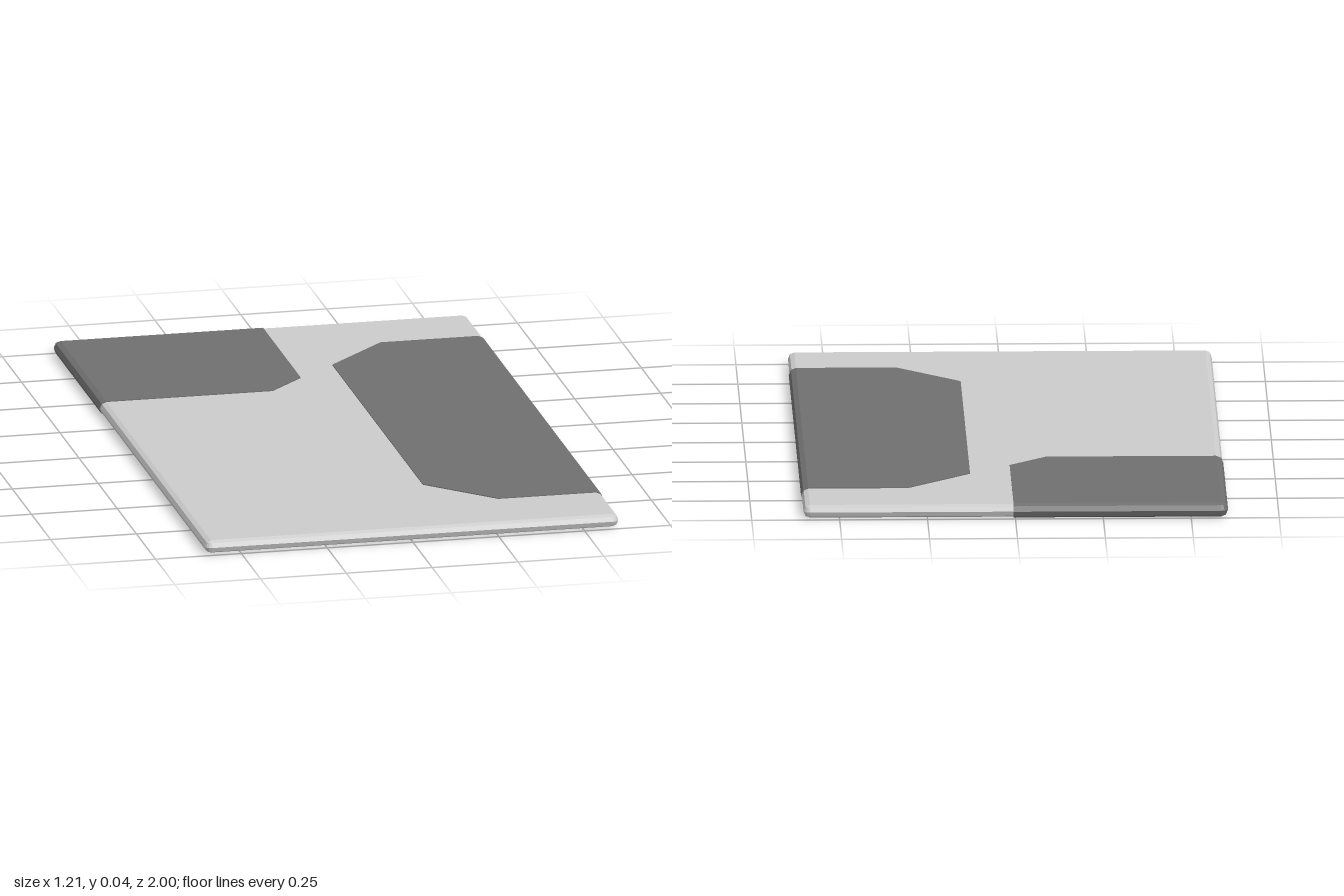
import * as THREE from 'three';

const HALF_X = 0.605, HALF_Z = 1, RADIUS = 0.021; // outer size and edge rounding
const EDGE_STEPS = 4, CORNER_STEPS = 3;
const SKIN = 0.0025; // how far the dark panels stand proud of the board

// Rounded corner of the outline, starting at a given quarter turn seen from above
function corner(quarter) {
  const points = [];
  const sx = quarter === 0 || quarter === 3 ? 1 : -1;
  const sz = quarter < 2 ? -1 : 1;
  for (let i = 0; i <= CORNER_STEPS; i++) {
    const t = (quarter + i / CORNER_STEPS) * Math.PI / 2;
    points.push([
      sx * (HALF_X - RADIUS) + RADIUS * Math.cos(t),
      sz * (HALF_Z - RADIUS) - RADIUS * Math.sin(t),
    ]);
  }
  return points;
}

// Stacks an outline in layers. Points on the outer rim follow a half-round
// edge; points inside the board keep straight vertical walls.
function panelGeometry(outline, radius) {
  const coreX = HALF_X - RADIUS, coreZ = HALF_Z - RADIUS;
  const count = outline.length;
  const positions = [], indices = [];
  for (let layer = 0; layer <= EDGE_STEPS; layer++) {
    const angle = (layer / EDGE_STEPS - 0.5) * Math.PI;
    const scale = Math.max(Math.cos(angle), 0.03) * radius / RADIUS;
    for (const [x, z] of outline) {
      const cx = THREE.MathUtils.clamp(x, -coreX, coreX);
      const cz = THREE.MathUtils.clamp(z, -coreZ, coreZ);
      positions.push(cx + (x - cx) * scale, RADIUS + radius * Math.sin(angle), cz + (z - cz) * scale);
    }
  }
  for (let layer = 0; layer < EDGE_STEPS; layer++) {
    for (let i = 0; i < count; i++) {
      const a = layer * count + i, b = layer * count + (i + 1) % count;
      indices.push(a, b, b + count, a, b + count, a + count);
    }
  }
  // Flat bottom and top
  const top = EDGE_STEPS * count;
  for (let i = 1; i < count - 1; i++) {
    indices.push(0, i + 1, i, top, top + i, top + i + 1);
  }
  const geometry = new THREE.BufferGeometry();
  geometry.setAttribute('position', new THREE.Float32BufferAttribute(positions, 3));
  geometry.setIndex(indices);
  geometry.computeVertexNormals();
  return geometry;
}

export function createModel() {
  const group = new THREE.Group();
  group.name = 'panelBoard';
  const light = new THREE.MeshStandardMaterial({ color: 0xcccccc, flatShading: true });
  const dark = new THREE.MeshStandardMaterial({ color: 0x6f6f6f, flatShading: true });

  const add = (name, outline, radius, material) => {
    const mesh = new THREE.Mesh(panelGeometry(outline, radius), material);
    mesh.name = name;
    group.add(mesh);
  };

  // Main board with rounded rim
  add('board', [3, 0, 1, 2].flatMap(corner), RADIUS - SKIN, light);

  // Long dark panel wrapping the left edge
  add('sidePanel', [
    [0.3, 0.77], [HALF_X, 0.77], [HALF_X, -0.77],
    [0.3, -0.77], [0.12, -0.59], [0.12, 0.59],
  ], RADIUS, dark);

  // Dark panel wrapping the back right corner
  add('cornerPanel', [
    [-HALF_X, -0.385], [-0.1, -0.385], [0.005, -0.49], [0.005, -HALF_Z],
    ...corner(1),
  ], RADIUS, dark);

  return group;
}
